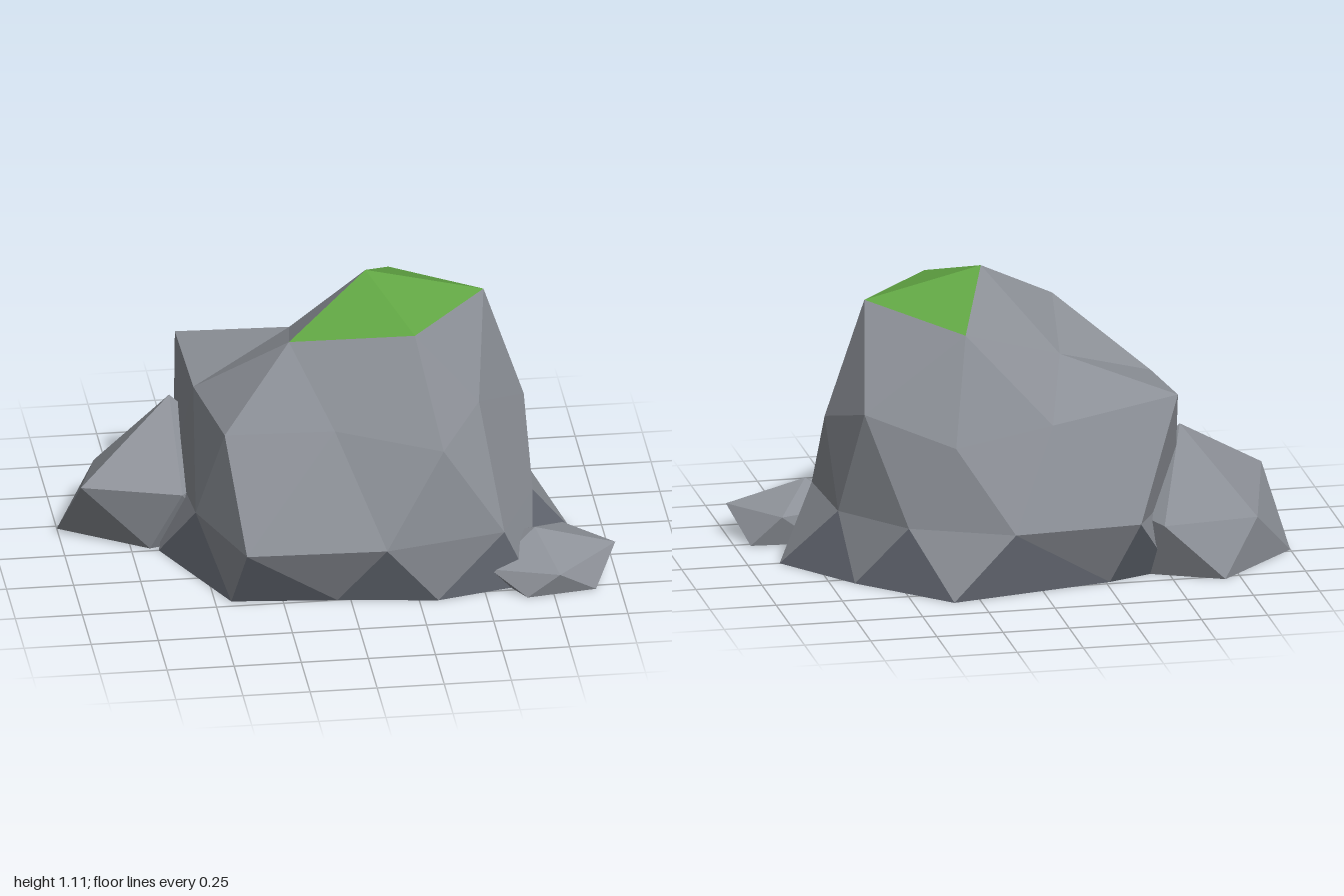
import * as THREE from 'three';
import { ConvexGeometry } from 'three/addons/geometries/ConvexGeometry.js';

const makeMaterial = (name, color) => {
  const m = new THREE.MeshStandardMaterial({ color, flatShading: true });
  m.name = name;
  return m;
};

// Mesh from a list of triangles, each of three [x, y, z] points
function facetMesh(name, triangles, material) {
  const g = new THREE.BufferGeometry();
  g.setAttribute('position', new THREE.Float32BufferAttribute(triangles.flat(2), 3));
  g.computeVertexNormals();
  const mesh = new THREE.Mesh(g, material);
  mesh.name = name;
  return mesh;
}

// Small convex stone from its corner points
function stone(name, points, material) {
  const mesh = new THREE.Mesh(new ConvexGeometry(points.map(p => new THREE.Vector3(...p))), material);
  mesh.name = name;
  return mesh;
}

export function createModel() {
  const grey = makeMaterial('stoneGrey', 0x8c9097);
  const dark = makeMaterial('darkStone', 0x6a6f79);
  const green = makeMaterial('mossGreen', 0x62a744);

  // Boulder rings, from the peak down, each going round from +x towards +z
  const peak = [0.12, 1.105, 0];
  const crown = [[0.56, 1, 0], [0.26, 0.99, 0.34], [-0.19, 0.92, 0.19], [-0.14, 0.8, -0.18], [0.25, 0.945, -0.34]];
  const shoulder = [
    [0.71, 0.56, 0], [0.5, 0.7, 0.33], [0.34, 0.61, 0.55], [-0.05, 0.66, 0.43], [-0.45, 0.63, 0.35],
    [-0.52, 0.66, -0.01], [-0.535, 0.69, -0.42], [-0.05, 0.62, -0.48], [0.32, 0.56, -0.5], [0.63, 0.66, -0.33],
  ];
  const waist = [
    [0.72, 0.18], [0.57, 0.52], [0.12, 0.625], [-0.4, 0.605], [-0.54, 0.21],
    [-0.57, -0.2], [-0.36, -0.59], [0.12, -0.625], [0.49, -0.46], [0.7, -0.19],
  ].map(([x, z]) => [x, 0.25, z]);
  const foot = [
    [0.88, 0], [0.68, 0.46], [0.32, 0.55], [-0.05, 0.5], [-0.44, 0.46],
    [-0.65, 0], [-0.52, -0.38], [-0.265, -0.48], [0.35, -0.61], [0.66, -0.3],
  ].map(([x, z]) => [x, 0, z]);
  const base = [0.05, 0, 0];

  const rock = [], band = [], moss = [];
  for (let k = 0; k < 5; k++) {
    const a = crown[k], b = crown[(k + 1) % 5];
    const s = i => shoulder[(2 * k + i + 10) % 10];
    (k === 2 || k === 3 ? rock : moss).push([peak, b, a]);
    rock.push([a, b, s(1)], [a, s(1), s(0)], [a, s(0), s(-1)]);
  }
  for (let j = 0; j < 10; j++) {
    const n = (j + 1) % 10, p = (j + 9) % 10;
    rock.push([shoulder[j], shoulder[n], waist[j]], [shoulder[j], waist[j], waist[p]]);
    rock.push([waist[p], waist[j], foot[j]]);
    band.push([waist[j], foot[n], foot[j]], [base, foot[j], foot[n]]);
  }

  const group = new THREE.Group();
  group.name = 'rockCluster';
  group.add(
    facetMesh('boulder', rock, grey),
    facetMesh('boulderFoot', band, dark),
    facetMesh('mossCap', moss, green),
    // Stone leaning on the boulder's back right
    stone('sideStone', [
      [-0.58, 0.52, -0.24], [-0.94, 0.275, 0], [-0.84, 0.19, -0.4], [-0.46, 0.22, -0.535], [-0.3, 0.25, -0.25],
      [-0.57, 0.25, 0.06], [-1, 0, -0.23], [-0.69, 0, -0.535], [-0.68, 0, -0.02], [-0.4, 0, -0.1], [-0.4, 0, -0.4],
    ], grey),
    // Pebble at the front left
    stone('pebble', [
      [0.7, 0.2, 0.39], [1, 0.12, 0.39], [0.77, 0.09, 0.58], [0.52, 0.09, 0.5], [0.83, 0.115, 0.19],
      [0.56, 0.12, 0.26], [0.91, 0, 0.53], [0.94, 0, 0.23], [0.65, 0, 0.57], [0.54, 0, 0.37], [0.68, 0, 0.21],
    ], grey),
  );
  return group;
}
